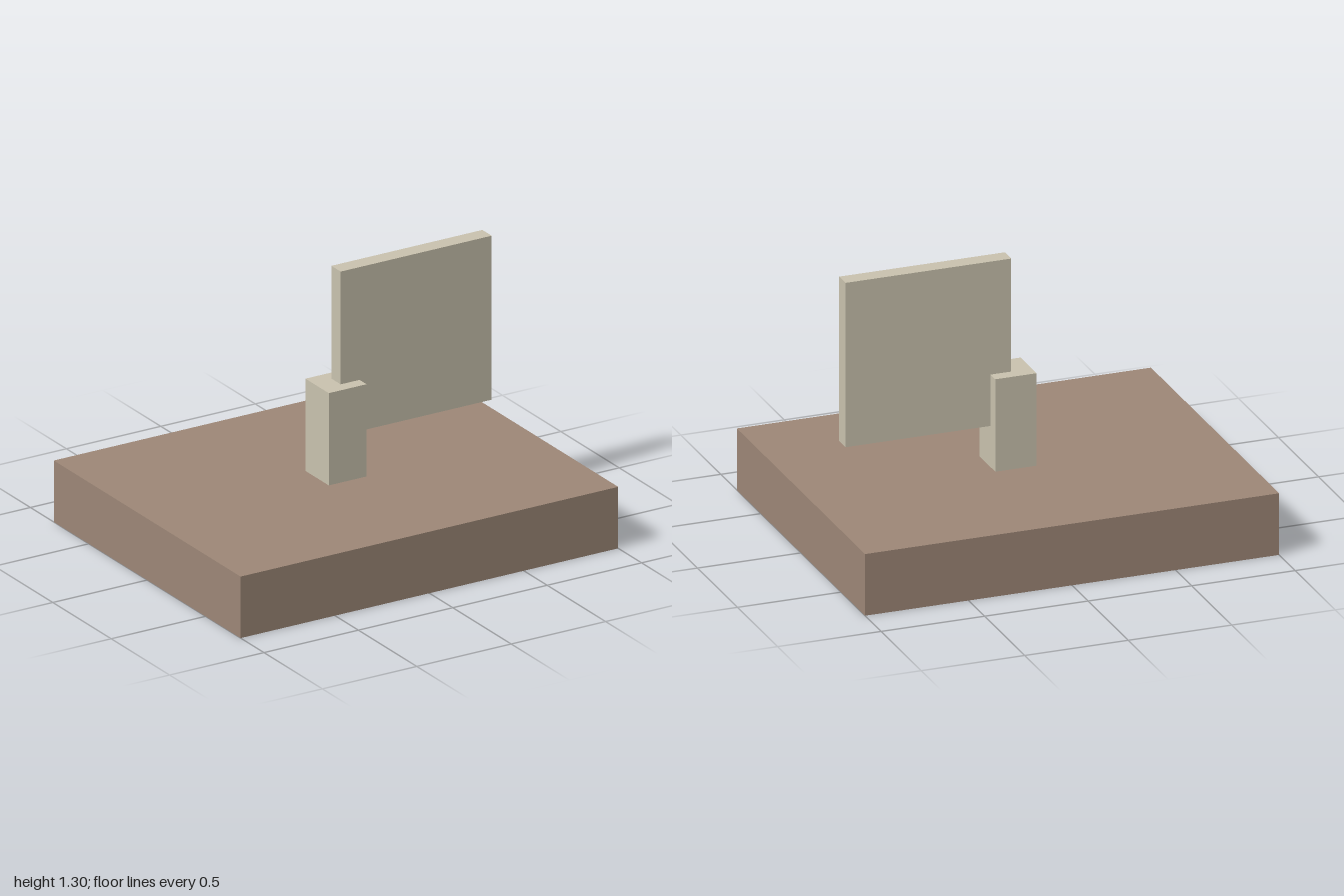
import * as THREE from 'three';

export function createModel() {
  const model = new THREE.Group();
  model.name = 'signOnBase';

  const brown = new THREE.MeshStandardMaterial({ name: 'brown', color: 0x9d8777 });
  const beige = new THREE.MeshStandardMaterial({ name: 'beige', color: 0xc9c2ae });

  // Box given by its size and the centre of its underside
  function addBox(name, material, [w, h, d], [x, y, z]) {
    const mesh = new THREE.Mesh(new THREE.BoxGeometry(w, h, d), material);
    mesh.name = name;
    mesh.position.set(x, y + h / 2, z);
    model.add(mesh);
  }

  // Wide slab that everything stands on
  addBox('base', brown, [2, 0.3, 1.6], [0, 0, 0]);
  // Short square post in the middle of the base
  addBox('post', beige, [0.2, 0.45, 0.2], [0, 0.3, 0]);
  // Thin upright panel let into the post and reaching out to the left
  addBox('panel', beige, [0.8, 0.8, 0.08], [0.4, 0.5, 0]);

  return model;
}
